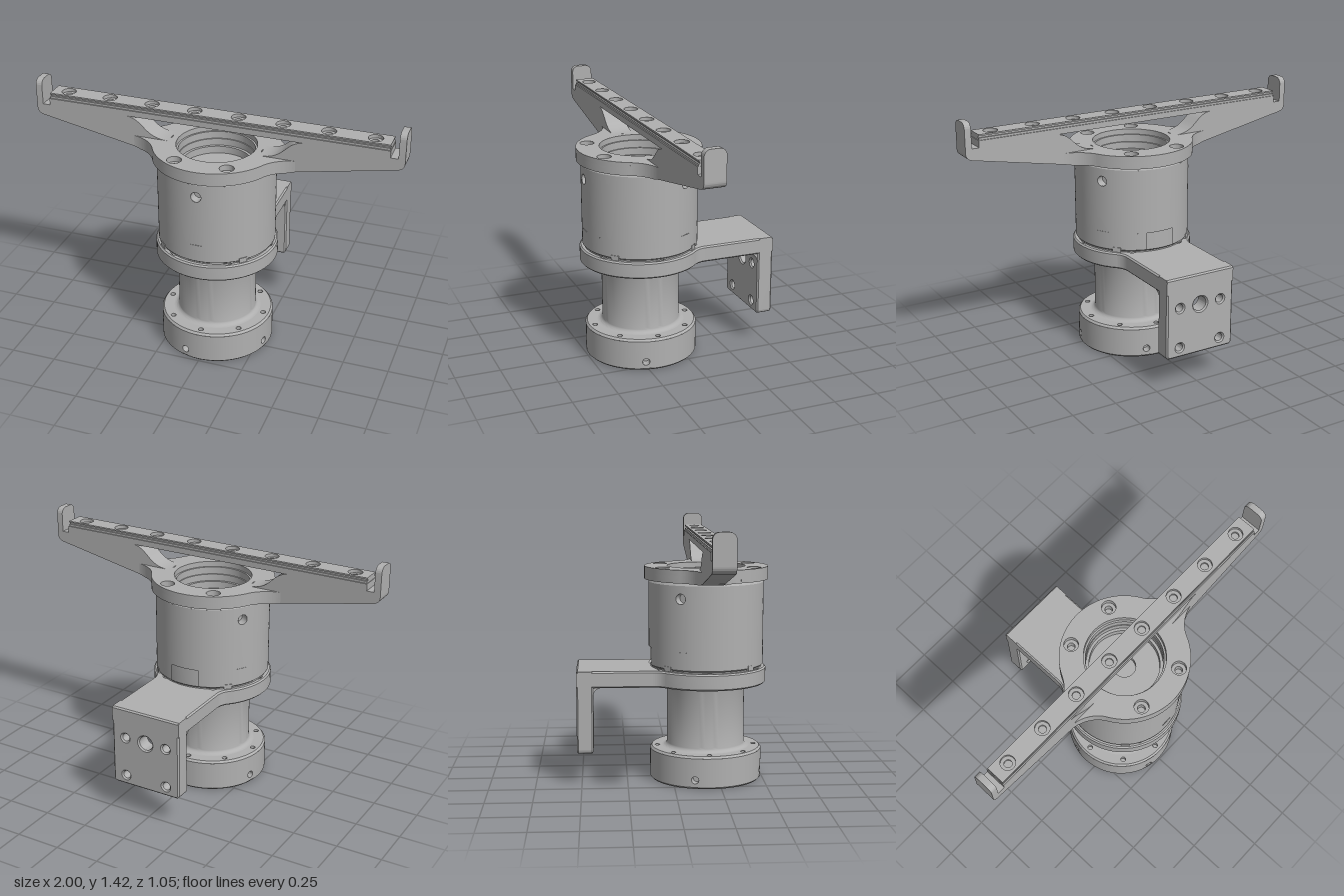
import * as THREE from 'three';
import { toCreasedNormals } from 'three/addons/utils/BufferGeometryUtils.js';

const metal = new THREE.MeshStandardMaterial({ color: 0xb0b0b0, side: THREE.DoubleSide });
metal.name = 'grey metal';
const PI = Math.PI, SEG = 72;
const rad = THREE.MathUtils.degToRad;

function add(parent, name, geo, x = 0, y = 0, z = 0) {
  const m = new THREE.Mesh(geo, metal);
  m.name = name;
  m.position.set(x, y, z);
  parent.add(m);
  return m;
}
const lathe = (pts, seg = SEG) =>
  toCreasedNormals(new THREE.LatheGeometry(pts.map(p => new THREE.Vector2(...p)), seg), 0.5);
const circle = (x, y, r) => new THREE.Path().absarc(x, y, r, 0, 2 * PI, true);
// points on a bolt circle, angle measured from the front
const boltCircle = (n, r, start = 0) => Array.from({ length: n }, (_, i) => {
  const a = rad(start + i * 360 / n);
  return [r * Math.sin(a), r * Math.cos(a)];
});
function extrude(shape, depth, bevel = 0) {
  return new THREE.ExtrudeGeometry(shape, {
    depth: depth - 2 * bevel, curveSegments: 24, bevelEnabled: bevel > 0,
    bevelSize: bevel, bevelThickness: bevel, bevelOffset: -bevel, bevelSegments: 1,
  }).translate(0, 0, bevel);
}
// horizontal plate: shape y points to the back, thickness goes up
const plate = (shape, depth, bevel) => extrude(shape, depth, bevel).rotateX(-PI / 2);
const crease = g => toCreasedNormals(g, 0.5);

// blind hole opening along dir
function cup(parent, name, pos, dir, r, depth) {
  const m = add(parent, name, lathe([[0, -depth], [r, -depth], [r, 0]], 16), ...pos);
  m.quaternion.setFromUnitVectors(new THREE.Vector3(0, 1, 0), new THREE.Vector3(...dir));
}

// flat ring with blind bolt holes
function drilledRing(parent, name, r1, r0, y, up, bolts, rh) {
  const s = new THREE.Shape().absarc(0, 0, r1, 0, 2 * PI, false);
  s.holes.push(circle(0, 0, r0));
  bolts.forEach(([x, z]) => s.holes.push(circle(x, -up * z, rh)));
  add(parent, name, new THREE.ShapeGeometry(s, 36).rotateX(-up * PI / 2), 0, y);
  bolts.forEach(([x, z]) => cup(parent, 'boltHole', [x, y, z], [0, up, 0], rh, 0.03));
}

// round wall with blind radial holes; each hole sits in a small bent panel
function drilledWall(parent, name, r, y0, y1, yh, rh, angles) {
  const half = rad(7.5), w = half * r;
  angles.forEach((deg, i) => {
    const a = rad(deg);
    const next = rad(i + 1 < angles.length ? angles[i + 1] : angles[0] + 360);
    add(parent, name, new THREE.CylinderGeometry(r, r, y1 - y0, 36, 1, true, a + half, next - a - 2 * half),
      0, (y0 + y1) / 2);
    const s = new THREE.Shape();
    s.moveTo(-w, y0); s.lineTo(w, y0); s.lineTo(w, y1); s.lineTo(-w, y1); s.closePath();
    s.holes.push(circle(0, yh, rh));
    const g = new THREE.ShapeGeometry(s, 16), p = g.attributes.position, n = g.attributes.normal;
    for (let k = 0; k < p.count; k++) {
      const t = a + p.getX(k) / r;
      p.setXYZ(k, r * Math.sin(t), p.getY(k), r * Math.cos(t));
      n.setXYZ(k, Math.sin(t), 0, Math.cos(t));
    }
    add(parent, name, g);
    const d = [Math.sin(a), 0, Math.cos(a)];
    cup(parent, 'screwHole', [r * d[0], yh, r * d[2]], d, rh, 0.05);
  });
}

function buildBase(g) {
  const bolts = boltCircle(8, 0.268);
  add(g, 'baseFoot', lathe([[0.298, 0], [0.308, 0.01]]));
  add(g, 'baseRim', lathe([[0.308, 0.168], [0.298, 0.18]]));
  drilledWall(g, 'baseWall', 0.308, 0.01, 0.168, 0.05, 0.02, [-15, 75, 165, 255]);
  drilledRing(g, 'baseTop', 0.298, 0.235, 0.18, 1, bolts, 0.014);
  drilledRing(g, 'baseBottom', 0.298, 0.225, 0, -1, bolts, 0.014);
  add(g, 'baseRecess', lathe([[0, 0.5], [0.15, 0.5], [0.15, 0.1], [0.225, 0.1], [0.225, 0]]));
  // neck with a fillet at each end
  const pts = [];
  for (let i = 0; i <= 6; i++) {
    const t = i / 6 * PI / 2;
    pts.push([0.241 - 0.028 * Math.sin(t), 0.208 - 0.028 * Math.cos(t)]);
  }
  const upper = pts.slice().reverse().map(([r, y]) => [r, 0.72 - y]);
  add(g, 'neck', lathe([...pts, ...upper]));
}

function buildSupport(g) {
  // collar disc flowing into the rear arm
  const t = Math.atan2(0.303, 0.305);
  const s = new THREE.Shape();
  s.absarc(0, 0, 0.33, PI - t, 2 * PI + t, false);
  s.absarc(0.305, 0.303, 0.1, PI + t, PI, true);
  s.lineTo(0.205, 0.712);
  s.lineTo(-0.205, 0.712);
  s.absarc(-0.305, 0.303, 0.1, 0, -t, true);
  boltCircle(6, 0.28, 30).forEach(([x, z]) => s.holes.push(circle(x, -z, 0.026)));
  add(g, 'collarAndArm', crease(plate(s, 0.09, 0.008)), 0, 0.54);

  // hanging mounting plate
  const p = new THREE.Shape();
  p.moveTo(0.205, 0.63);
  p.lineTo(-0.205, 0.63);
  p.absarc(-0.185, 0.2, 0.02, PI, 1.5 * PI, false);
  p.absarc(0.185, 0.2, 0.02, 1.5 * PI, 2 * PI, false);
  p.closePath();
  for (const x of [-0.125, 0.125]) for (const y of [0.46, 0.235]) p.holes.push(circle(x, y, 0.022));
  p.holes.push(circle(0, 0.458, 0.04));
  add(g, 'mountingPlate', crease(extrude(p, 0.09, 0.008)), 0, 0, -0.712);

  // fillet inside the elbow
  const f = new THREE.Shape();
  f.moveTo(0, 0);
  f.lineTo(0, -0.05);
  f.absarc(-0.05, -0.05, 0.05, 0, PI / 2, false);
  f.closePath();
  add(g, 'elbowFillet', crease(extrude(f, 0.394).rotateY(PI / 2)), -0.197, 0.541, -0.623);
}

function buildBody(g) {
  add(g, 'bodyTop', lathe([[0, 1.0], [0.06, 1.0], [0.06, 1.03], [0.185, 1.03], [0.185, 1.07], [0.2, 1.07],
    [0.2, 1.108], [0.307, 1.108], [0.315, 1.095]]));
  drilledWall(g, 'bodyWall', 0.315, 0.74, 1.095, 1.025, 0.028, [0, 120, 240]);
  // lower band with a shallow window at the back
  const gap = rad(15);
  add(g, 'bodyLowerWall', new THREE.CylinderGeometry(0.315, 0.315, 0.095, SEG, 1, true, PI + gap, 2 * PI - 2 * gap), 0, 0.6925);
  add(g, 'windowBack', lathe([[0.297, 0.63], [0.297, 0.74], [0.315, 0.74]]));
  add(g, 'bodyFoot', lathe([[0.305, 0.63], [0.305, 0.637], [0.315, 0.645]]));
  // small keys around the foot
  for (const a of [45, 135, 225, 315]) {
    const [[x, z]] = boltCircle(1, 0.308, a);
    add(g, 'footKey', new THREE.BoxGeometry(0.045, 0.026, 0.02), x, 0.645, z).rotation.y = rad(a);
  }
}

function flangeShape(bore, boltR) {
  const t = Math.atan2(0.251, 0.47), s = new THREE.Shape();
  s.absarc(0, 0, 0.338, t, PI - t, false);
  s.absarc(-0.47, 0.251, 0.195, -t, -PI / 2, true);
  s.absarc(-0.47, -0.251, 0.195, PI / 2, t, true);
  s.absarc(0, 0, 0.338, PI + t, 2 * PI - t, false);
  s.absarc(0.47, -0.251, 0.195, PI - t, PI / 2, true);
  s.absarc(0.47, 0.251, 0.195, -PI / 2, -PI + t, true);
  s.holes.push(circle(0, 0, bore));
  boltCircle(6, 0.283, 30).forEach(([x, z]) => s.holes.push(circle(x, -z, boltR)));
  return s;
}

function buildBracket(g) {
  // flange in two layers, giving counterbored holes; its underside follows the beam slope
  const low = plate(flangeShape(0.203, 0.02), 0.04), p = low.attributes.position;
  for (let i = 0; i < p.count; i++) {
    if (p.getY(i) < 0.01) p.setY(i, Math.max(0, Math.abs(p.getX(i)) - 0.4) * 0.196);
  }
  add(g, 'flangeLower', crease(low), 0, 1.11);
  add(g, 'flangeUpper', crease(plate(flangeShape(0.213, 0.038), 0.03)), 0, 1.15);

  // beam with sloping arms and an open middle
  const s = new THREE.Shape();
  s.moveTo(-1, 1.283);
  s.lineTo(-1, 1.26);
  s.quadraticCurveTo(-1, 1.227, -0.96, 1.22);
  s.lineTo(-0.4, 1.11);
  s.lineTo(-0.25, 1.11);
  s.lineTo(-0.25, 1.18);
  s.bezierCurveTo(-0.39, 1.18, -0.38, 1.278, -0.48, 1.288);
  s.lineTo(0.48, 1.288);
  s.bezierCurveTo(0.38, 1.278, 0.39, 1.18, 0.25, 1.18);
  s.lineTo(0.25, 1.11);
  s.lineTo(0.4, 1.11);
  s.lineTo(0.96, 1.22);
  s.quadraticCurveTo(1, 1.227, 1, 1.26);
  s.lineTo(1, 1.283);
  s.lineTo(0.925, 1.283);
  s.lineTo(0.925, 1.32);
  s.lineTo(-0.925, 1.32);
  s.lineTo(-0.925, 1.283);
  s.closePath();
  add(g, 'beam', crease(extrude(s, 0.116)), 0, 0, -0.058);

  // rounded end stops
  const e = new THREE.Shape();
  e.moveTo(-0.058, 1.283);
  e.lineTo(0.058, 1.283);
  e.absarc(0.023, 1.385, 0.035, 0, PI / 2, false);
  e.absarc(-0.023, 1.385, 0.035, PI / 2, PI, false);
  e.closePath();
  for (const x of [-1, 0.965]) add(g, 'endStop', crease(extrude(e, 0.035).rotateY(PI / 2)), x);

  // rail in three layers, with side grooves and counterbored holes
  for (const [y, h, w, r] of [[1.32, 0.012, 0.052, 0.02], [1.332, 0.01, 0.043, 0.038], [1.342, 0.008, 0.052, 0.038]]) {
    const q = new THREE.Shape();
    q.moveTo(-0.922, -w); q.lineTo(0.922, -w); q.lineTo(0.922, w); q.lineTo(-0.922, w); q.closePath();
    for (let i = 0; i < 8; i++) q.holes.push(circle(-0.835 + i * 0.2386, 0, r));
    add(g, 'rail', crease(plate(q, h)), 0, y);
  }
}

export function createModel() {
  const model = new THREE.Group();
  model.name = 'mountedActuator';
  for (const [name, build] of [['base', buildBase], ['support', buildSupport], ['body', buildBody], ['railBracket', buildBracket]]) {
    const g = new THREE.Group();
    g.name = name;
    g.position.z = 0.187;
    build(g);
    model.add(g);
  }
  return model;
}
